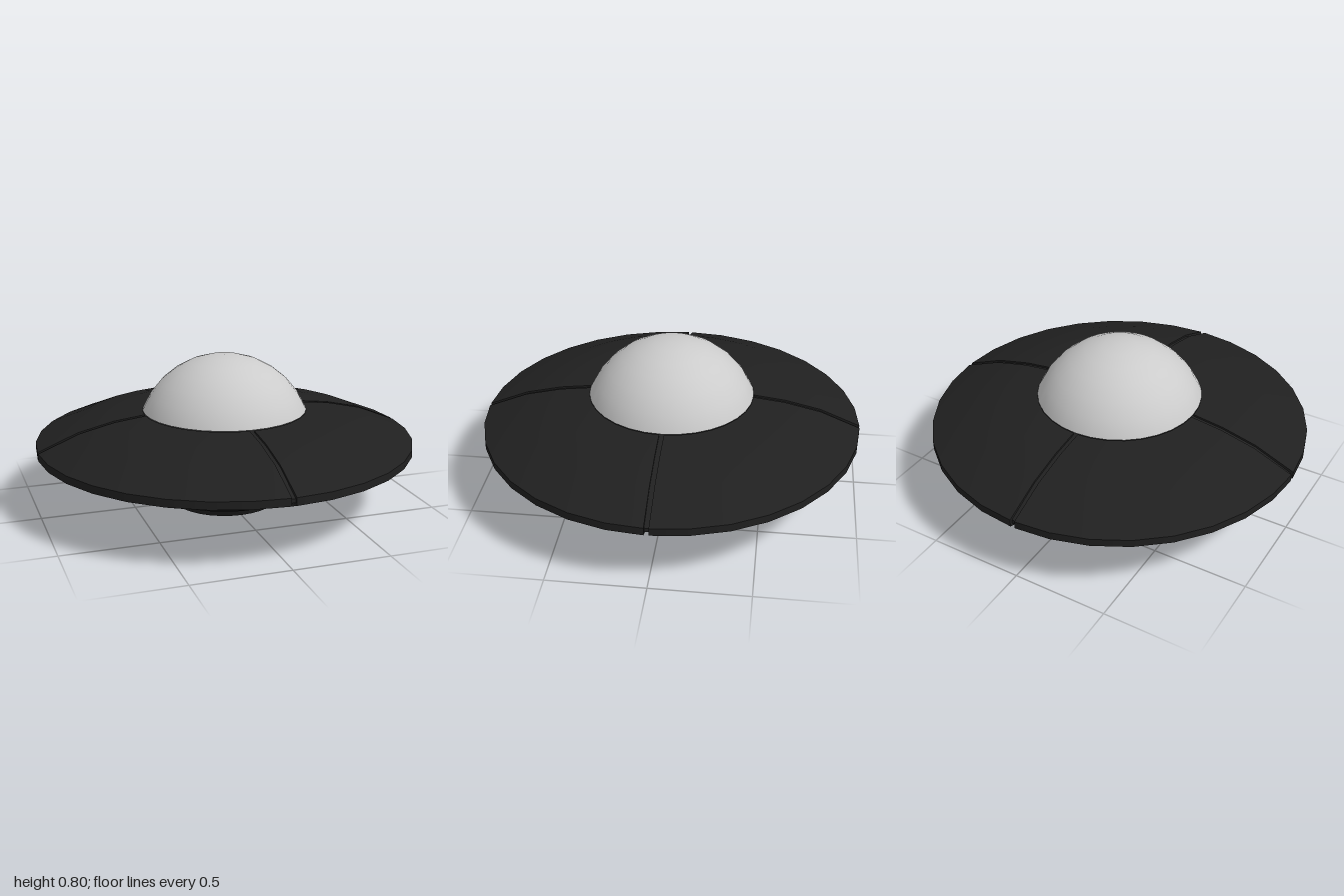
import * as THREE from 'three';
import { mergeGeometries } from 'three/addons/utils/BufferGeometryUtils.js';

const SIDES = 32;
const GROOVE = 0.012; // half the width of a panel groove

const dark = new THREE.MeshStandardMaterial({ color: 0x202020, side: THREE.DoubleSide });
const grey = new THREE.MeshStandardMaterial({ color: 0xcccccc, side: THREE.DoubleSide });

// Lathe whose runs of [radius, y] points are smooth inside and sharp between runs
function lathe(runs, sides = SIDES, phi = Math.PI * 2) {
  return mergeGeometries(runs.map((run) =>
    new THREE.LatheGeometry(run.map(([r, y]) => new THREE.Vector2(r, y)), sides, 0, phi)));
}

// Each straight step of a profile as its own sharp-edged run
const steps = (points) => points.slice(1).map((p, i) => [points[i], p]);

function add(parent, name, geometry, material) {
  const mesh = new THREE.Mesh(geometry, material);
  mesh.name = name;
  parent.add(mesh);
  return mesh;
}

export function createModel() {
  const model = new THREE.Group();
  model.name = 'flyingSaucer';

  // Hull profile: underside, rim, upper side
  const under = [[0.435, 0.167], [0.6, 0.187], [0.79, 0.23], [1, 0.315]];
  const over = [[1, 0.355], [0.79, 0.441], [0.6, 0.485], [0.435, 0.505]];
  const rim = [under[3], over[0]];

  // Inner core, seen at the bottom of the grooves
  const inset = ([r, y]) => [r > 0.9 ? r - 0.014 : r, y + (y < 0.335 ? 0.01 : -0.01)];
  const coreUnder = under.map(inset);
  const coreOver = over.map(inset);
  add(model, 'hullCore', lathe([
    coreUnder, [coreUnder[3], coreOver[0]], coreOver, [coreOver[3], [0, coreOver[3][1]]],
  ]), dark);

  // Four hull panels, pulled back from the axes to leave the grooves
  const panel = lathe([under, rim, over], SIDES / 4, Math.PI / 2);
  const pos = panel.attributes.position;
  for (let i = 0; i < pos.count; i++) {
    pos.setX(i, Math.max(pos.getX(i), GROOVE));
    pos.setZ(i, Math.max(pos.getZ(i), GROOVE));
  }
  // Groove walls close the cut edges of each panel
  const section = new THREE.Shape([...under, ...over].map(([r, y]) => new THREE.Vector2(r, y)));
  const wallX = new THREE.ShapeGeometry(section).translate(0, 0, GROOVE);
  const wallZ = new THREE.ShapeGeometry(section).rotateY(-Math.PI / 2).translate(GROOVE, 0, 0);
  for (let i = 0; i < 4; i++) {
    const quarter = new THREE.Group();
    quarter.name = 'hullQuarter';
    quarter.rotation.y = i * Math.PI / 2;
    add(quarter, 'hullPanel', panel, dark);
    add(quarter, 'grooveWall', wallX, dark);
    add(quarter, 'grooveWall', wallZ, dark);
    model.add(quarter);
  }

  // Stepped belly with a round recess in the bottom
  add(model, 'belly', lathe(steps([
    [0, 0.157], [0.23, 0.157], [0.23, 0], [0.283, 0],
    [0.315, 0.063], [0.383, 0.063], [0.437, 0.167],
  ])), dark);

  // Dome, a cap of a sphere
  const dome = new THREE.SphereGeometry(0.471, SIDES, 6, 0, Math.PI * 2, 0, Math.PI * 3 / 8);
  add(model, 'dome', dome, grey).position.y = 0.328;

  return model;
}
